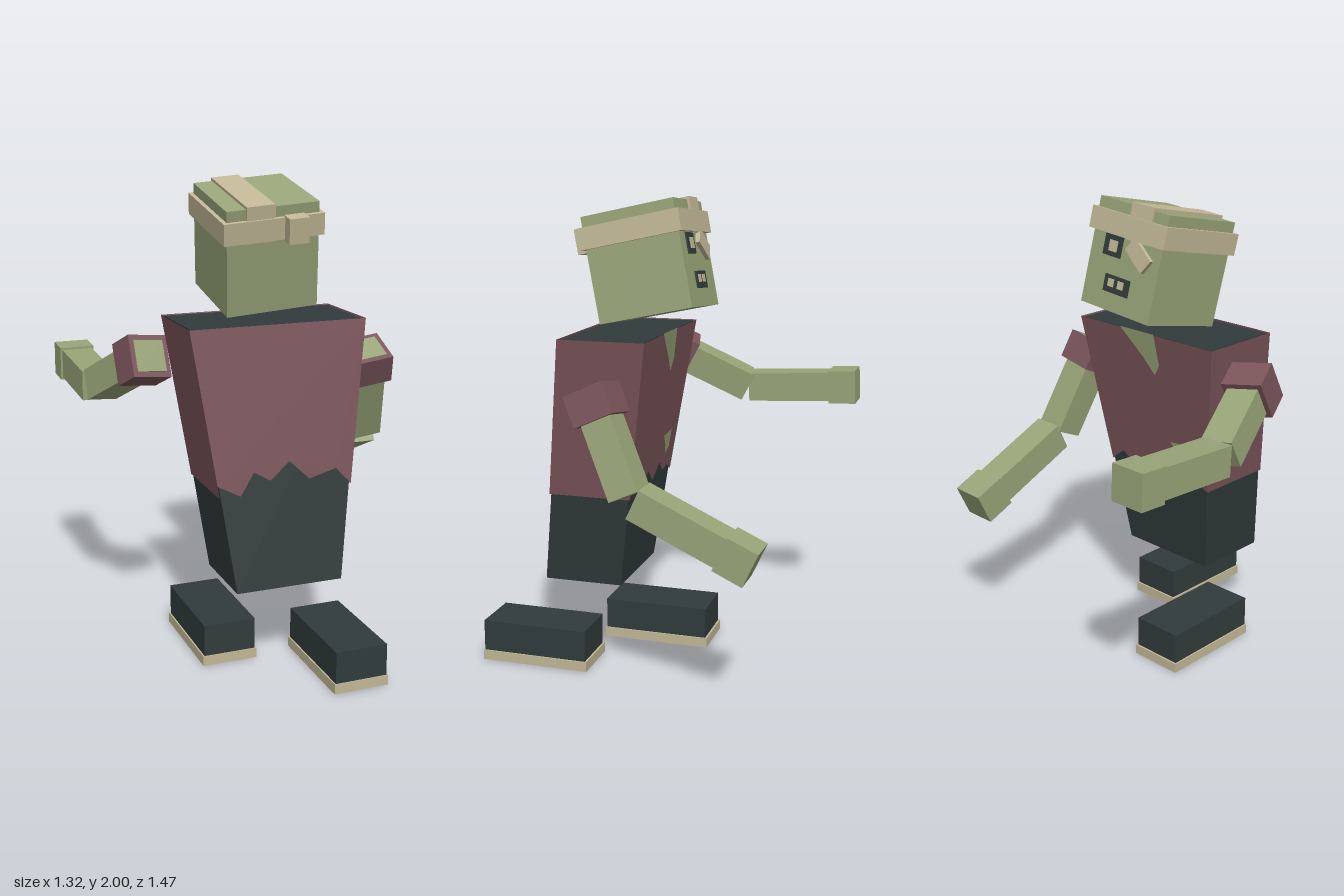
import * as THREE from 'three';

const mat = (color, side = THREE.FrontSide) =>
  new THREE.MeshStandardMaterial({ color, side, flatShading: true });

const V = (x, y, z) => new THREE.Vector3(x, y, z);

// Tapered, leaning trunk: half width, front depth and back depth at height y
const MID = 0.0175;
const at = (y, a, b) => a + (b - a) * (y - 0.375) / 1.065;
const halfW = (y) => at(y, 0.23, 0.375);
const frontZ = (y) => at(y, 0.465, 0.335);
const backZ = (y) => at(y, 0.125, -0.028);

export function createModel() {
  const model = new THREE.Group();
  const skin = mat(0x98a478), cloth = mat(0x7b555b), dark = mat(0x313b3b), linen = mat(0xc2b896);
  const clothThin = mat(0x7b555b, THREE.DoubleSide), skinThin = mat(0x98a478, THREE.DoubleSide);

  function add(parent, name, geometry, material, x = 0, y = 0, z = 0) {
    const mesh = new THREE.Mesh(geometry, material);
    mesh.name = name;
    mesh.position.set(x, y, z);
    parent.add(mesh);
    return mesh;
  }
  const box = (parent, name, material, w, h, d, x, y, z) =>
    add(parent, name, new THREE.BoxGeometry(w, h, d), material, x, y, z);

  // Move every vertex of a geometry by a rule
  function warp(geometry, rule) {
    const p = geometry.attributes.position, v = V(0, 0, 0);
    for (let i = 0; i < p.count; i++) {
      v.fromBufferAttribute(p, i);
      p.setXYZ(i, ...rule(v));
    }
    geometry.computeVertexNormals();
    return geometry;
  }
  const flat = (points) =>
    new THREE.ShapeGeometry(new THREE.Shape(points.map(([x, y]) => new THREE.Vector2(x, y))));

  // Trunk: dark tapered block, a little narrower inside the shirt
  const trunk = warp(new THREE.BoxGeometry(1, 1, 1), (v) => {
    const y = v.y > 0 ? 1.437 : 0.375, inset = v.y > 0 ? 0.008 : 0;
    return [MID + Math.sign(v.x) * (halfW(y) - inset), y,
      v.z > 0 ? frontZ(y) - inset : backZ(y) + inset];
  });
  add(model, 'trunk', trunk, dark);

  // Shirt: four thin panels, ragged hem on the wide ones
  const shirt = new THREE.Group();
  shirt.name = 'shirt';
  model.add(shirt);
  const OUT = 0.003;
  const wall = (name, points, zRule, offset, material) =>
    add(shirt, name, warp(flat(points), (v) => [v.x, v.y, zRule(v.y) + offset]), material);
  const edge = (s, y) => [MID + s * (halfW(y) + OUT), y];
  const hem = [[-0.18, 0.77], [-0.12, 0.86], [-0.05, 0.82], [0.035, 0.89], [0.12, 0.81], [0.24, 0.84]];
  wall('shirtFront', [edge(-1, 1.44), edge(-1, 0.82), ...hem, edge(1, 0.77), edge(1, 1.44)],
    frontZ, OUT, clothThin);
  const backHem = [[-0.21, 0.80], [-0.14, 0.79], [-0.08, 0.84], [0.0, 0.78], [0.08, 0.84], [0.16, 0.78], [0.23, 0.83]];
  wall('shirtBack', [edge(-1, 1.44), edge(-1, 0.77), ...backHem, edge(1, 0.77), edge(1, 1.44)],
    backZ, -OUT, clothThin);
  for (const s of [-1, 1]) {
    const side = warp(new THREE.PlaneGeometry(1, 1), (v) => {
      const y = v.y > 0 ? 1.44 : 0.77;
      return [edge(s, y)[0], y, v.x > 0 ? frontZ(y) + OUT : backZ(y) - OUT];
    });
    add(shirt, s > 0 ? 'shirtLeftSide' : 'shirtRightSide', side, clothThin);
  }
  // Torn patches showing skin
  wall('chestTear', [[0.15, 1.445], [-0.045, 1.445], [-0.06, 1.31], [-0.03, 1.26], [0.03, 1.33]],
    backZ, -0.007, skinThin);
  wall('bellyTear', [[-0.08, 0.96], [-0.19, 0.97], [-0.18, 0.89], [-0.13, 0.87], [-0.12, 0.91]],
    backZ, -0.007, skinThin);

  // Shoes: one forward, one back, each with a pale sole rim
  for (const [name, x, z] of [['leftShoe', 0.22, 0.495], ['rightShoe', -0.187, 0.073]]) {
    const shoe = new THREE.Group();
    shoe.name = name;
    shoe.position.set(x, 0, z);
    model.add(shoe);
    box(shoe, 'upper', dark, 0.225, 0.18, 0.465, 0, 0.09, 0);
    box(shoe, 'sole', linen, 0.238, 0.043, 0.478, 0, 0.0235, -0.002);
  }

  // Box stretched between two points, its width kept close to the x direction
  function limb(parent, name, a, b, w, d, material) {
    const dir = b.clone().sub(a), length = dir.length();
    dir.normalize();
    const side = V(1, 0, 0).addScaledVector(dir, -dir.x).normalize();
    const mesh = box(parent, name, material, w, length, d, 0, 0, 0);
    mesh.quaternion.setFromRotationMatrix(
      new THREE.Matrix4().makeBasis(side, dir, side.clone().cross(dir)));
    mesh.position.copy(a).lerp(b, 0.5);
  }
  function arm(name, shoulder, elbowEnd, elbow, wrist, tip) {
    const g = new THREE.Group();
    g.name = name;
    model.add(g);
    const dir = elbowEnd.clone().sub(shoulder).normalize();
    const along = (t) => shoulder.clone().addScaledVector(dir, t);
    limb(g, 'sleeve', along(-0.065), along(0.065), 0.175, 0.175, cloth);
    limb(g, 'upperArm', along(-0.068), elbowEnd, 0.135, 0.13, skin);
    limb(g, 'forearm', elbow, wrist, 0.135, 0.128, skin);
    limb(g, 'hand', wrist, tip, 0.153, 0.148, skin);
  }
  arm('leftArm', V(0.503, 1.21, 0.13), V(0.565, 0.87, -0.025),
    V(0.573, 0.855, -0.06), V(0.577, 0.695, -0.41), V(0.579, 0.64, -0.53));
  arm('rightArm', V(-0.48, 1.28, 0.085), V(-0.58, 1.12, -0.22),
    V(-0.583, 1.115, -0.24), V(-0.584, 1.135, -0.61), V(-0.584, 1.141, -0.73));

  // Head, tipped back and rolled to one side
  const head = new THREE.Group();
  head.name = 'head';
  head.position.set(0.02, 1.73, 0.06);
  head.rotation.set(0.21, 0, 0.08);
  model.add(head);
  box(head, 'skull', skin, 0.39, 0.44, 0.40, 0, -0.005, 0);

  // Bandage: band around the head, strip over the top, knot and loose end
  box(head, 'headBand', linen, 0.425, 0.09, 0.435, 0, 0.126, 0);
  box(head, 'crownStrip', linen, 0.12, 0.15, 0.42, -0.055, 0.152, 0);
  box(head, 'bandKnot', linen, 0.085, 0.105, 0.06, 0.085, 0.125, 0.235);
  const flap = box(head, 'eyeBandage', linen, 0.13, 0.07, 0.02, -0.085, 0.03, -0.208);
  flap.rotation.z = 0.6;

  // Face
  const FACE = -0.2;
  box(head, 'eyeSocket', dark, 0.1, 0.085, 0.012, 0.07, 0.035, FACE);
  box(head, 'eye', linen, 0.045, 0.045, 0.02, 0.065, 0.035, FACE);
  box(head, 'mouth', dark, 0.14, 0.07, 0.012, 0.01, -0.115, FACE);
  for (const x of [-0.015, 0.04]) box(head, 'tooth', linen, 0.032, 0.032, 0.02, x, -0.11, FACE);

  return model;
}
